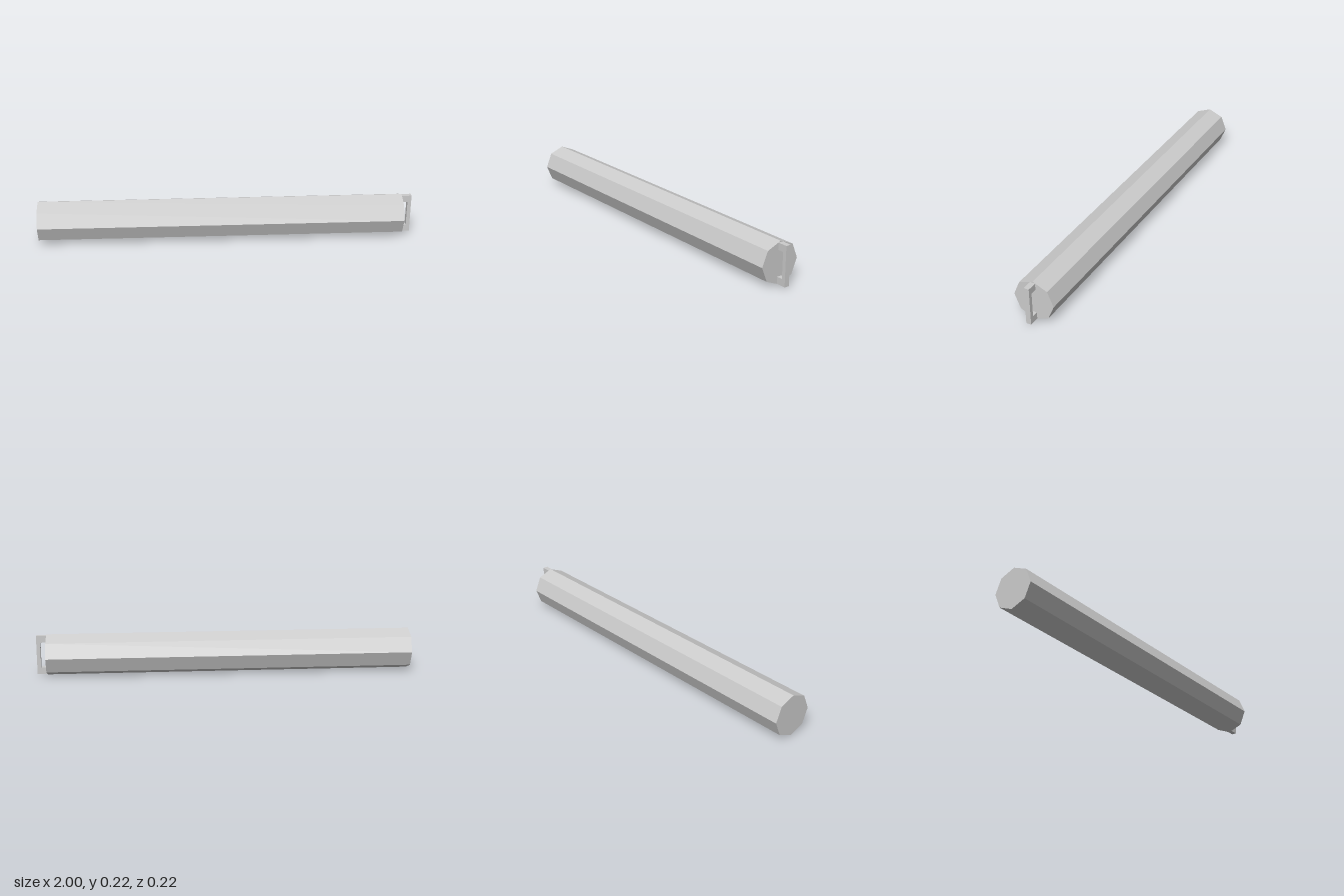
import * as THREE from 'three';

export function createModel() {
  const group = new THREE.Group();
  const mat = new THREE.MeshStandardMaterial({ color: 0xcccccc, flatShading: true });
  const R = 0.11, END = 0.947;

  // Octagonal bar lying along x, one edge pointing straight up
  const barGeo = new THREE.CylinderGeometry(R, R, END + 1, 8);
  barGeo.rotateZ(-Math.PI / 2);
  const bar = new THREE.Mesh(barGeo, mat);
  bar.name = 'bar';
  bar.position.set((END - 1) / 2, R + 0.001, 0);
  group.add(bar);

  // C-shaped pull handle on the +x end
  const outer = 0.104, inner = 0.068, gripX = 0.98, depth = 0.027;
  const shape = new THREE.Shape([
    [END, -outer], [1, -outer], [1, outer], [END, outer],
    [END, inner], [gripX, inner], [gripX, -inner], [END, -inner],
  ].map(([x, y]) => new THREE.Vector2(x, y)));
  const handleGeo = new THREE.ExtrudeGeometry(shape, { depth, bevelEnabled: false });
  handleGeo.translate(0, R + 0.001, -depth / 2);
  const handle = new THREE.Mesh(handleGeo, mat);
  handle.name = 'endHandle';
  group.add(handle);

  return group;
}
